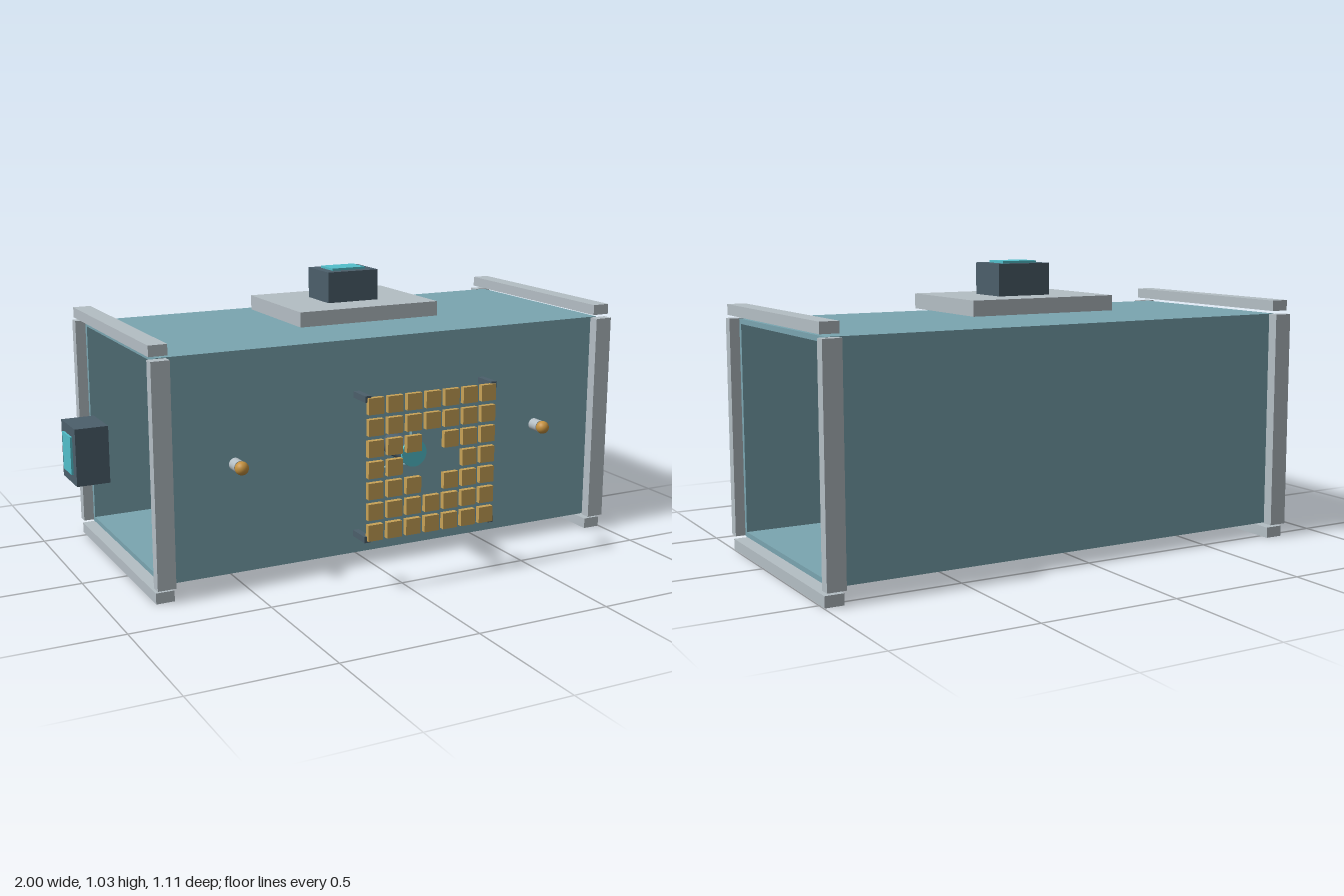
import * as THREE from 'three';

const mat = (name, color) => {
  const m = new THREE.MeshStandardMaterial({ color });
  m.name = name;
  return m;
};

export function createModel() {
  const model = new THREE.Group();
  model.name = 'chamber';
  const wall = mat('blue grey wall', 0x7aa5b0);
  const grey = mat('light grey metal', 0xb4bec4);
  const dark = mat('dark slate', 0x4c5f6b);
  const teal = mat('bright teal', 0x52bfcb);
  const gold = mat('gold tile', 0xc8a257);
  const copper = mat('copper', 0xc4913f);
  const CX = 0.083, CY = 0.443, CZ = -0.117; // centre of the chamber

  const add = (name, geo, m, x = 0, y = 0, z = 0) => {
    const mesh = new THREE.Mesh(geo, m);
    mesh.name = name;
    mesh.position.set(x, y, z);
    model.add(mesh);
    return mesh;
  };
  // box given by its extents on each axis
  const box = (name, m, x0, x1, y0, y1, z0, z1) =>
    add(name, new THREE.BoxGeometry(x1 - x0, y1 - y0, z1 - z0), m,
      (x0 + x1) / 2, (y0 + y1) / 2, (z0 + z1) / 2);
  // cylinder along z or x
  const rodZ = (name, m, r, x, y, z0, z1) =>
    add(name, new THREE.CylinderGeometry(r, r, z1 - z0, 32).rotateX(Math.PI / 2), m, x, y, (z0 + z1) / 2);
  const rodX = (name, m, r, x0, x1, y, z) =>
    add(name, new THREE.CylinderGeometry(r, r, x1 - x0, 24).rotateZ(Math.PI / 2), m, (x0 + x1) / 2, y, z);

  // open-ended square chamber
  const X0 = -0.8, X1 = 0.965, Y0 = 0.052, Y1 = 0.834, Z0 = -0.507, Z1 = 0.274, T = 0.018;
  box('chamberFloor', wall, X0, X1, Y0, Y0 + T, Z0, Z1);
  box('chamberRoof', wall, X0, X1, Y1 - T, Y1, Z0, Z1);
  box('backWall', wall, X0, X1, Y0 + T, Y1 - T, Z0, Z0 + T);

  // front wall with a square window
  const rect = (P, x0, x1, y0, y1) => {
    const p = new P();
    p.moveTo(x0, y0);
    p.lineTo(x1, y0);
    p.lineTo(x1, y1);
    p.lineTo(x0, y1);
    p.closePath();
    return p;
  };
  const front = rect(THREE.Shape, X0, X1, Y0 + T, Y1 - T);
  front.holes.push(rect(THREE.Path, CX - 0.08, CX + 0.08, CY - 0.088, CY + 0.088));
  add('frontWall', new THREE.ExtrudeGeometry(front, { depth: T, bevelEnabled: false }), wall, 0, 0, Z1 - T);

  // frames round both ends
  for (const x of [-0.802, 0.964]) {
    const a = x - 0.033, b = x + 0.033;
    box('framePost', grey, a, b, Y0, Y1, 0.285, 0.324);
    box('framePost', grey, a, b, Y0, Y1, -0.557, -0.518);
    box('frameBar', grey, a, b, 0, 0.039, -0.537, 0.304);
    box('frameBar', grey, a, b, 0.846, 0.884, -0.537, 0.304);
  }

  // target block on a stem, with side rods
  box('targetBlock', grey, CX - 0.08, CX + 0.08, CY - 0.068, CY + 0.068, CZ - 0.012, CZ + 0.012);
  rodZ('targetStem', grey, 0.006, CX, CY, Z0 + T, CZ - 0.012);
  rodX('sideRod', teal, 0.018, -0.605, CX - 0.08, CY, CZ);
  rodX('sideRod', teal, 0.018, CX + 0.08, 0.77, CY, CZ);

  // roof plate with its sensor box
  box('roofPlate', grey, -0.198, 0.362, 0.858, 0.912, -0.337, 0.103);
  box('roofSensor', dark, -0.02, 0.185, 0.912, 1.025, -0.2, -0.034);
  box('roofSensorWindow', teal, 0.015, 0.15, 1.025, 1.033, -0.166, -0.07);

  // sensor box beyond the open end
  box('endSensor', dark, -0.992, -0.873, 0.341, 0.546, -0.2, -0.034);
  box('endSensorWindow', teal, -1, -0.992, 0.376, 0.511, -0.166, -0.07);

  // lens barrel in front of the window
  rodZ('lensBarrel', dark, 0.043, CX, CY, 0.278, 0.422);
  rodZ('lens', teal, 0.049, CX, CY, 0.422, 0.431);

  // ball-ended pegs on the front wall
  for (const x of [CX - 0.612, CX + 0.61]) {
    rodZ('pegStem', grey, 0.022, x, CY, Z1, 0.32);
    add('pegBall', new THREE.SphereGeometry(0.024, 24, 16), copper, x, CY, 0.334);
  }

  // tiled screen with a cross-shaped gap
  const tile = new THREE.BoxGeometry(0.057, 0.057, 0.019);
  for (let i = -3; i <= 3; i++) for (let j = -3; j <= 3; j++) {
    if (Math.abs(i) + Math.abs(j) <= 1) continue;
    add('screenTile', tile, gold, CX + i * 0.0733, CY + j * 0.0733, 0.548);
  }
  // corner brackets of the screen
  for (const sx of [-1, 1]) for (const sy of [-1, 1]) {
    add('screenBracket', new THREE.BoxGeometry(0.022, 0.022, 0.085), dark,
      CX + sx * 0.246, CY + sy * 0.244, 0.505);
  }
  return model;
}
